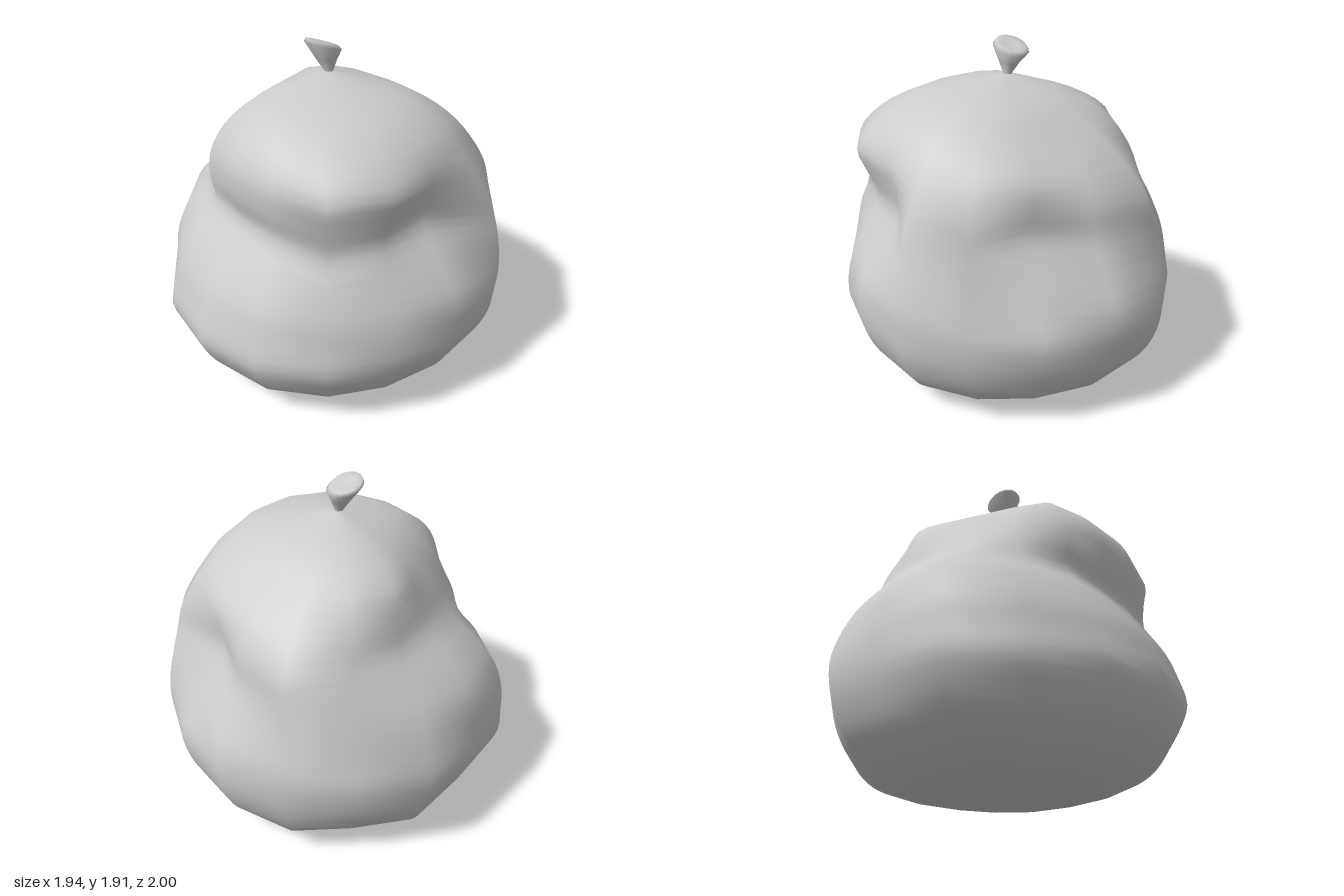
import * as THREE from 'three';

const ROWS = 48;

// Radii of the upper bag at each level, one line per 22.5 degrees from +x towards +z
const LEVELS = [0.58, 0.72, 0.9, 1.05, 1.2, 1.35, 1.5, 1.63];
const RADII = [
  [0.97, 0.94, 0.80, 0.69, 0.71, 0.74, 0.68, 0.48], // left crease
  [0.95, 0.91, 0.81, 0.74, 0.79, 0.84, 0.73, 0.50],
  [0.96, 0.95, 0.91, 0.85, 0.86, 0.88, 0.75, 0.49], // overhanging front corner
  [0.97, 0.92, 0.81, 0.72, 0.76, 0.77, 0.68, 0.46],
  [0.96, 0.90, 0.77, 0.67, 0.71, 0.71, 0.62, 0.44], // front fold
  [0.97, 0.92, 0.81, 0.70, 0.72, 0.71, 0.61, 0.41],
  [0.97, 0.95, 0.87, 0.75, 0.70, 0.62, 0.50, 0.31],
  [1.02, 1.01, 0.95, 0.82, 0.65, 0.56, 0.44, 0.28], // right shoulder
  [0.97, 0.96, 0.92, 0.80, 0.63, 0.56, 0.47, 0.29],
  [1.02, 0.99, 0.91, 0.80, 0.68, 0.64, 0.58, 0.36],
  [0.97, 0.93, 0.89, 0.84, 0.76, 0.70, 0.59, 0.37],
  [1.02, 1.01, 0.95, 0.92, 0.88, 0.75, 0.55, 0.34], // back lump
  [1.00, 0.99, 0.89, 0.81, 0.78, 0.68, 0.50, 0.32],
  [0.98, 0.89, 0.77, 0.68, 0.70, 0.71, 0.56, 0.35], // back dent
  [0.99, 0.98, 0.94, 0.90, 0.86, 0.77, 0.64, 0.43],
  [1.00, 1.01, 0.99, 0.95, 0.87, 0.77, 0.66, 0.47],
];
const SIDES = RADII.length;

// Rounded base as [share of the belly radius, height]
const BASE = [[0, 0], [0.25, 0], [0.45, 0.012], [0.61, 0.04], [0.73, 0.08],
  [0.84, 0.16], [0.92, 0.27], [0.98, 0.42]];

function bagGeometry() {
  const positions = [], index = [];
  RADII.forEach((radii, i) => {
    const angle = (i / SIDES) * 2 * Math.PI;
    const belly = radii[0] + 0.06 * Math.max(0, Math.sin(angle)); // the front sags low
    const profile = [
      ...BASE.map(([r, y]) => [r * belly, y]),
      ...LEVELS.map((y, l) => [radii[l], y]),
      [0.02, 1.725],
    ].map(([r, y]) => new THREE.Vector3(r, y, 0));
    const curve = new THREE.CatmullRomCurve3(profile, false, 'centripetal');
    for (let j = 0; j <= ROWS; j++) {
      const p = curve.getPoint(j / ROWS);
      const lean = THREE.MathUtils.smoothstep(p.y, 1.3, 1.72);
      positions.push(
        Math.cos(angle) * p.x - 0.02 * lean,
        Math.max(0, p.y),
        Math.sin(angle) * p.x + 0.02 * lean,
      );
      if (j < ROWS) {
        const a = i * (ROWS + 1) + j;
        const b = ((i + 1) % SIDES) * (ROWS + 1) + j;
        if (j > 0) index.push(a, b + 1, b);
        index.push(a, a + 1, b + 1);
      }
    }
  });
  const geometry = new THREE.BufferGeometry();
  geometry.setAttribute('position', new THREE.Float32BufferAttribute(positions, 3));
  geometry.setIndex(index);
  geometry.computeVertexNormals();
  return geometry;
}

// Flared tie with a slightly hollow, tilted mouth
function tieGeometry() {
  const points = [[0.035, -0.025], [0.024, 0], [0.055, 0.06], [0.098, 0.135],
    [0.085, 0.155], [0.05, 0.15], [0, 0.145]].map(([r, y]) => new THREE.Vector2(r, y));
  const geometry = new THREE.LatheGeometry(points, 16);
  const pos = geometry.attributes.position;
  for (let i = 0; i < pos.count; i++) {
    const x = pos.getX(i), y = pos.getY(i), z = pos.getZ(i);
    const t = Math.max(0, y) / 0.15;
    pos.setXYZ(i, x - 0.035 * t, y + 0.36 * z * t, z * 1.08 + 0.015 * t);
  }
  geometry.computeVertexNormals();
  return geometry;
}

export function createModel() {
  const group = new THREE.Group();
  group.name = 'tiedSack';
  const material = new THREE.MeshStandardMaterial({ color: 0xcccccc, side: THREE.DoubleSide });

  const bag = new THREE.Mesh(bagGeometry(), material);
  bag.name = 'bag';

  const tie = new THREE.Mesh(tieGeometry(), material);
  tie.name = 'tiedNeck';
  tie.position.set(-0.02, 1.725, 0.02);

  group.add(bag, tie);
  return group;
}
